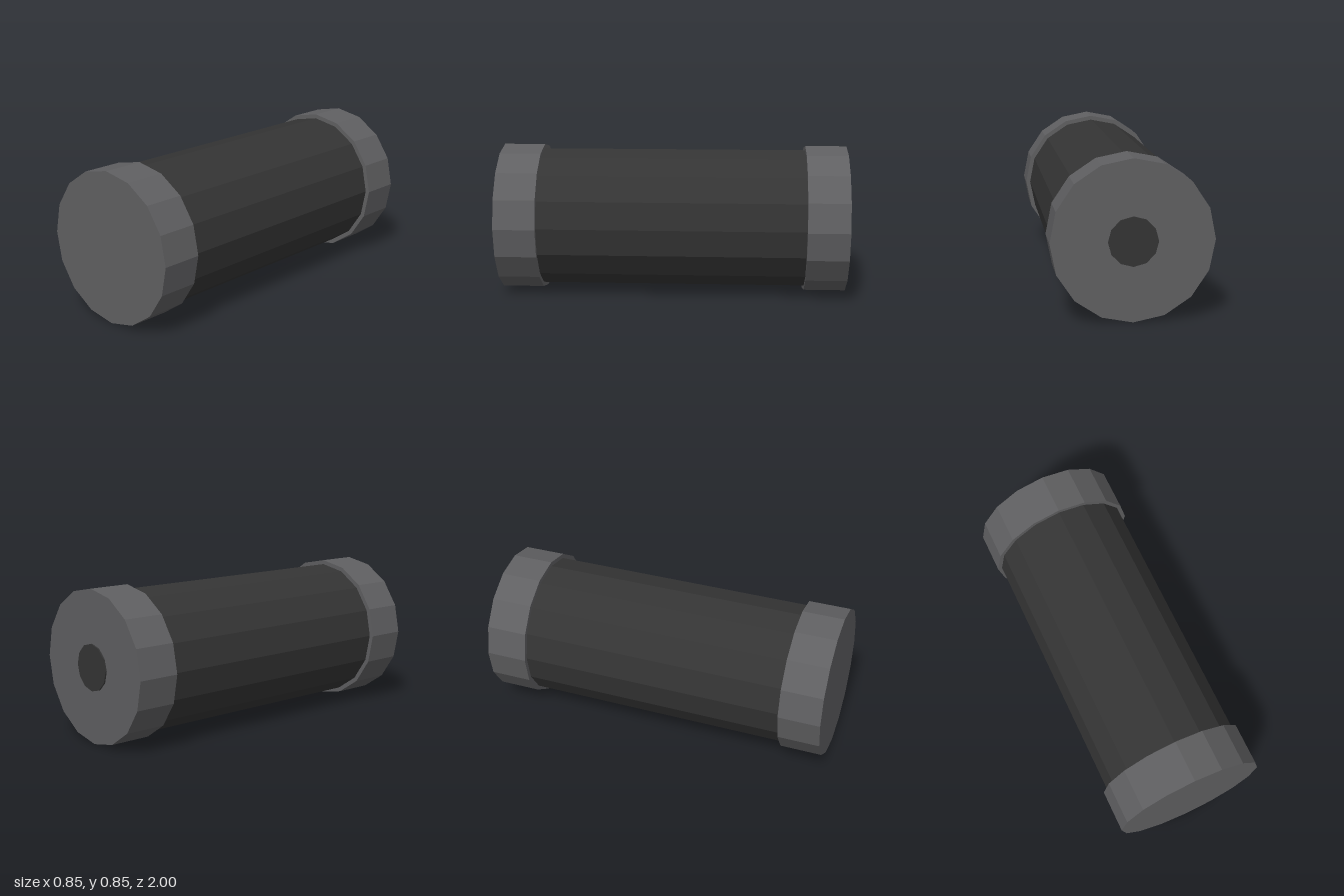
import * as THREE from 'three';

const RADIUS = 0.425;

export function createModel() {
  const model = new THREE.Group();
  model.name = 'cappedCylinder';

  const capGrey = new THREE.MeshStandardMaterial({ color: 0x5f5f61, flatShading: true });
  capGrey.name = 'cap grey';
  const bodyBlack = new THREE.MeshStandardMaterial({ color: 0x343434, flatShading: true });
  bodyBlack.name = 'body black';

  // Faceted cylinder lying along z between two depths, with a corner at the top
  const addDrum = (name, radius, z0, z1, sides, material) => {
    const geometry = new THREE.CylinderGeometry(radius, radius, z1 - z0, sides);
    geometry.rotateX(Math.PI / 2);
    const mesh = new THREE.Mesh(geometry, material);
    mesh.name = name;
    mesh.position.set(0, RADIUS, (z0 + z1) / 2);
    model.add(mesh);
  };

  // Long body, wider end caps and the small contact disc on the back
  addDrum('body', 0.4, -0.9, 0.9, 16, bodyBlack);
  addDrum('frontCap', RADIUS, 0.763, 1, 16, capGrey);
  addDrum('backCap', RADIUS, -0.992, -0.755, 16, capGrey);
  addDrum('backDisc', 0.13, -1, -0.991, 12, bodyBlack);

  return model;
}
